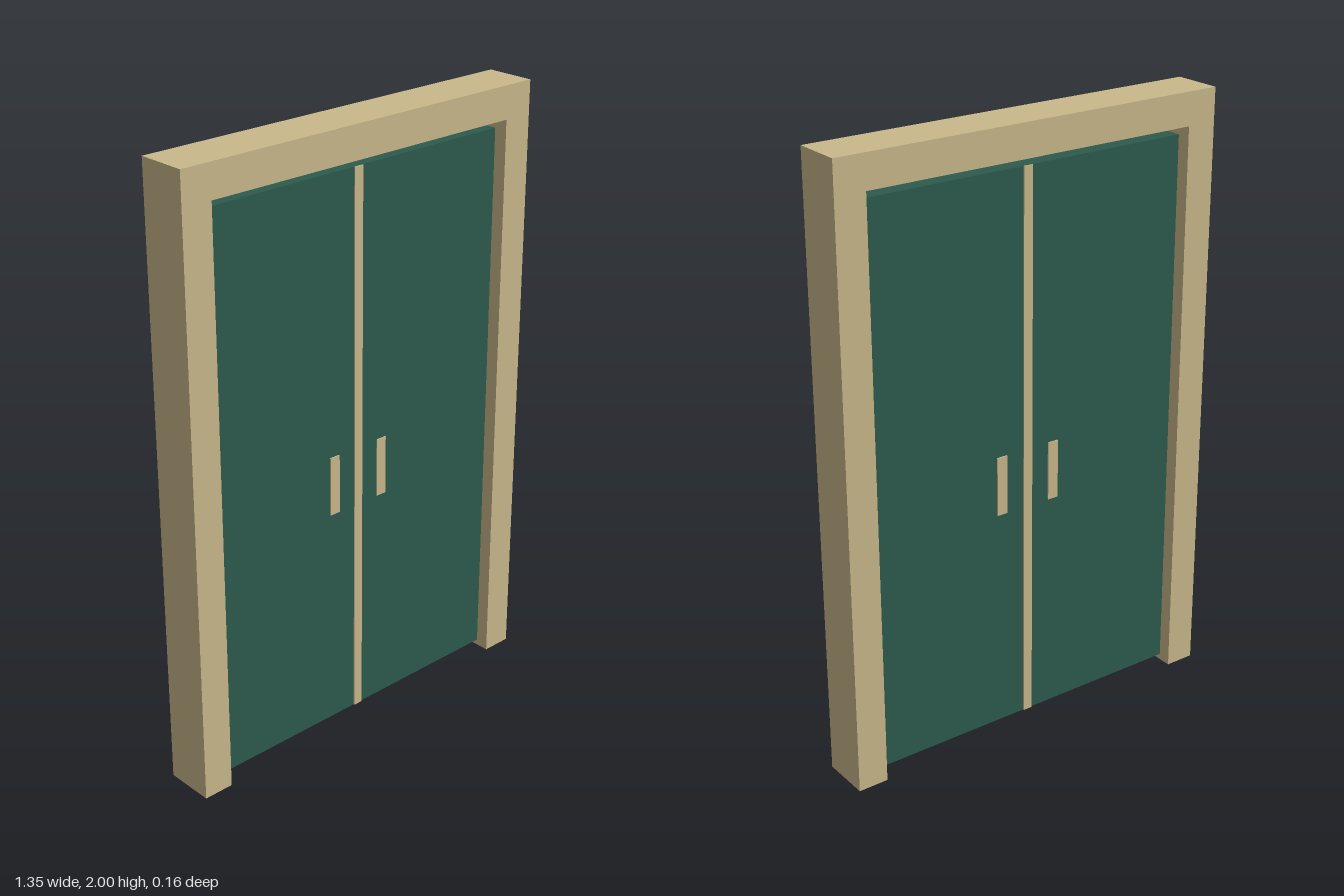
import * as THREE from 'three';

export function createModel() {
  const group = new THREE.Group();
  const tan = new THREE.MeshStandardMaterial({ color: 0xc9b88a });
  tan.name = 'tan trim';
  const green = new THREE.MeshStandardMaterial({ color: 0x2d5a4e });
  green.name = 'dark green';

  const W = 0.675, IN = 0.574, LINTEL = 1.893, DEPTH = 0.164;
  const LEAF_Z = 0.037, BOTTOM = 0.02, TOP = 1.859;

  function box(name, material, x0, x1, y0, y1, z0, z1) {
    const mesh = new THREE.Mesh(new THREE.BoxGeometry(x1 - x0, y1 - y0, z1 - z0), material);
    mesh.position.set((x0 + x1) / 2, (y0 + y1) / 2, (z0 + z1) / 2);
    mesh.name = name;
    group.add(mesh);
  }

  // Door frame: two jambs and a lintel as one extruded arch
  const outline = new THREE.Shape([
    [-W, 0], [-IN, 0], [-IN, LINTEL], [IN, LINTEL],
    [IN, 0], [W, 0], [W, 2], [-W, 2],
  ].map(([x, y]) => new THREE.Vector2(x, y)));
  const frameGeo = new THREE.ExtrudeGeometry(outline, { depth: DEPTH, bevelEnabled: false });
  frameGeo.translate(0, 0, -DEPTH / 2);
  const frame = new THREE.Mesh(frameGeo, tan);
  frame.name = 'doorFrame';
  group.add(frame);

  // Two leaves meeting in the middle
  box('leftLeaf', green, 0, IN, BOTTOM, TOP, -LEAF_Z, LEAF_Z);
  box('rightLeaf', green, -IN, 0, BOTTOM, TOP, -LEAF_Z, LEAF_Z);

  // Centre strip and push plates on both faces
  const T = 0.004;
  for (const [side, z0] of [['front', LEAF_Z], ['back', -LEAF_Z - T]]) {
    box(side + 'CentreStrip', tan, -0.016, 0.016, BOTTOM, TOP, z0, z0 + T);
    box(side + 'LeftHandle', tan, 0.079, 0.116, 0.764, 0.96, z0, z0 + T);
    box(side + 'RightHandle', tan, -0.116, -0.079, 0.764, 0.96, z0, z0 + T);
  }
  return group;
}
